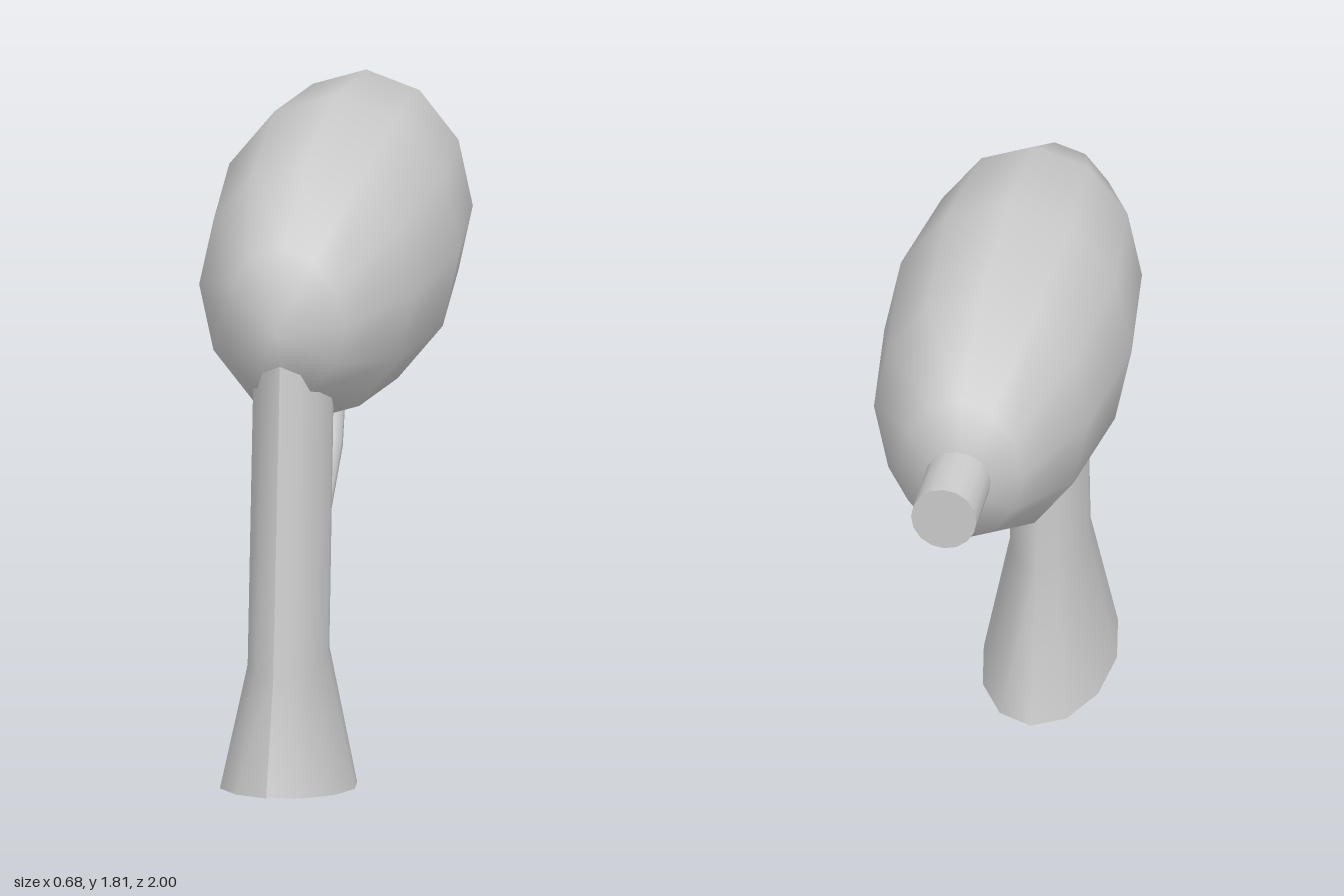
import * as THREE from 'three';

const material = new THREE.MeshStandardMaterial({ color: 0xcccccc });

// Lofts elliptical rings along the YZ plane and caps both ends.
// Each section is [centreY, centreZ, halfWidthX, axisY, axisZ].
function loft(sections, sides) {
  const pos = [], index = [];
  const ring = ([y, z, rx, vy, vz]) => {
    const start = pos.length / 3;
    for (let i = 0; i <= sides; i++) {
      const a = (i / sides) * Math.PI * 2;
      pos.push(rx * Math.sin(a), y + vy * Math.cos(a), z + vz * Math.cos(a));
    }
    return start;
  };
  const starts = sections.map(ring);
  for (let s = 0; s < starts.length - 1; s++) {
    for (let i = 0; i < sides; i++) {
      const a = starts[s] + i, b = starts[s + 1] + i;
      index.push(a, a + 1, b + 1, a, b + 1, b);
    }
  }
  // Flat end caps with their own vertices
  const low = ring(sections[0]), high = ring(sections[sections.length - 1]);
  for (let i = 1; i < sides - 1; i++) {
    index.push(low, low + i + 1, low + i, high, high + i, high + i + 1);
  }
  const geometry = new THREE.BufferGeometry();
  geometry.setAttribute('position', new THREE.Float32BufferAttribute(pos, 3));
  geometry.setIndex(index);
  geometry.computeVertexNormals();
  return geometry;
}

export function createModel() {
  const model = new THREE.Group();
  model.name = 'toyRayGun';
  const add = (name, geometry) => {
    const mesh = new THREE.Mesh(geometry, material);
    mesh.name = name;
    model.add(mesh);
    return mesh;
  };

  // Egg-shaped body with its poles at the two ends
  const body = new THREE.SphereGeometry(1, 12, 6);
  body.rotateX(Math.PI / 2);
  body.scale(0.34, 0.425, 0.85);
  add('body', body).position.set(0, 1.39, 0.015);

  // Short barrel
  const barrel = new THREE.CylinderGeometry(0.09, 0.09, 0.3, 16);
  barrel.rotateX(Math.PI / 2);
  add('barrel', barrel).position.set(0, 1.39, -0.85);

  // Grip flaring to a slanted foot
  add('grip', loft([
    [0.0625, 0.685, 0.183, 0.0575, 0.315],
    [0.43, 0.685, 0.106, 0, 0.215],
    [1.21, 0.612, 0.106, 0.11, 0.193],
  ], 12));

  // Trigger
  add('trigger', loft([
    [0.84, 0.355, 0.035, 0.006, 0.035],
    [1.1, 0.31, 0.035, 0.006, 0.035],
  ], 8));

  // Bent trigger guard with mitred joints
  add('triggerGuard', loft([
    [0.65, 0.5, 0.042, 0.04, 0.013],
    [0.72, 0.31, 0.042, 0.04, 0.02],
    [0.865, 0.135, 0.042, 0.032, 0.036],
    [1.06, 0.075, 0.042, 0.012, 0.04],
  ], 10));

  return model;
}
